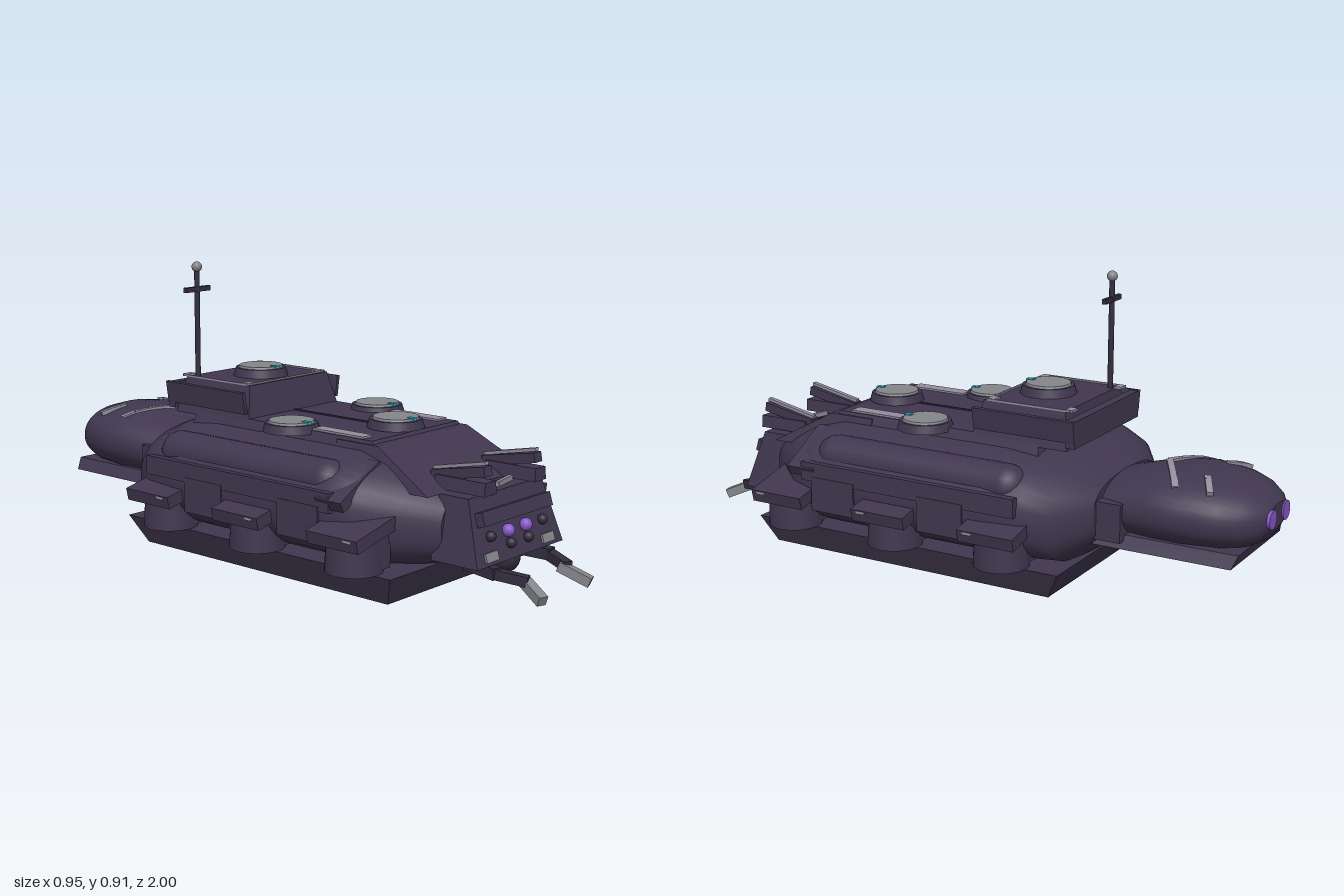
import * as THREE from 'three';

const mat = (name, color, side = THREE.FrontSide) => {
  const m = new THREE.MeshStandardMaterial({ color, side });
  m.name = name;
  return m;
};

export function createModel() {
  const model = new THREE.Group();
  model.name = 'armouredCrawler';
  const body = mat('darkPlumHull', 0x40374f);
  const dark = mat('darkMetal', 0x332d3e);
  const grey = mat('greyMetal', 0x85868a);
  const trim = mat('paleTrim', 0x938d9e);
  const violet = mat('violetGlow', 0x8757c9);
  const cyan = mat('cyanMark', 0x25b4c8);

  const add = (name, geo, m, x = 0, y = 0, z = 0) => {
    const mesh = new THREE.Mesh(geo, m);
    mesh.name = name;
    mesh.position.set(x, y, z);
    model.add(mesh);
    return mesh;
  };
  const box = (name, m, x, y, z, w, h, d) => add(name, new THREE.BoxGeometry(w, h, d), m, x, y, z);

  // Box with separate bottom and top rectangles [x0, x1, z0, z1]
  const frustum = (name, m, y0, y1, lo, hi) => {
    const g = new THREE.BoxGeometry(1, 1, 1);
    const p = g.attributes.position;
    for (let i = 0; i < p.count; i++) {
      const r = p.getY(i) > 0 ? hi : lo;
      p.setXYZ(i, r[p.getX(i) > 0 ? 1 : 0], p.getY(i) > 0 ? y1 : y0, r[p.getZ(i) > 0 ? 3 : 2]);
    }
    g.computeVertexNormals();
    return add(name, g, m);
  };

  // Box running from a to b, w wide and h thick
  const bar = (name, m, a, b, w, h) => {
    const A = new THREE.Vector3(...a), B = new THREE.Vector3(...b);
    const mid = A.clone().add(B).multiplyScalar(0.5);
    const mesh = box(name, m, mid.x, mid.y, mid.z, w, h, A.distanceTo(B));
    mesh.lookAt(B);
    return mesh;
  };

  // Superellipse loft along z; stations are [z, halfWidth, yBottom, yTop]
  const loft = (name, m, stations, n) => {
    const N = 40, pos = [], idx = [];
    const pw = (v) => Math.sign(v) * Math.abs(v) ** (2 / n);
    const ring = ([z, w, y0, y1]) => {
      for (let i = 0; i < N; i++) {
        const a = (i / N) * Math.PI * 2;
        pos.push(w * pw(Math.cos(a)), (y0 + y1) / 2 + ((y1 - y0) / 2) * pw(Math.sin(a)), z);
      }
    };
    stations.forEach(ring);
    for (let s = 0; s < stations.length - 1; s++)
      for (let i = 0; i < N; i++) {
        const a = s * N + i, b = s * N + ((i + 1) % N);
        idx.push(a, b, b + N, a, b + N, a + N);
      }
    // End caps with their own rings
    [stations[0], stations.at(-1)].forEach((st, e) => {
      const base = pos.length / 3;
      ring(st);
      pos.push(0, (st[2] + st[3]) / 2, st[0]);
      for (let i = 0; i < N; i++) {
        const a = base + i, b = base + ((i + 1) % N);
        idx.push(...(e ? [a, b, base + N] : [b, a, base + N]));
      }
    });
    const g = new THREE.BufferGeometry();
    g.setAttribute('position', new THREE.Float32BufferAttribute(pos, 3));
    g.setIndex(idx);
    g.computeVertexNormals();
    return add(name, g, m);
  };

  // Main hull
  frustum('basePlate', body, 0, 0.09, [-0.34, 0.34, -0.41, 0.6], [-0.38, 0.38, -0.46, 0.64]);
  loft('hull', body, [
    [-0.5, 0.23, 0.13, 0.33], [-0.42, 0.36, 0.06, 0.38], [-0.34, 0.4, 0.06, 0.41], [-0.2, 0.415, 0.06, 0.42],
    [0.4, 0.415, 0.06, 0.42], [0.5, 0.38, 0.06, 0.4], [0.6, 0.3, 0.07, 0.36], [0.69, 0.21, 0.09, 0.32],
  ], 2.6);
  frustum('deck', body, 0.32, 0.435, [-0.26, 0.26, -0.33, 0.5], [-0.21, 0.21, -0.3, 0.43]);
  frustum('hood', body, 0.31, 0.425, [-0.25, 0.25, 0.3, 0.67], [-0.22, 0.22, 0.3, 0.46]);
  box('deckSeam', dark, 0, 0.436, 0.1, 0.008, 0.006, 0.34);

  // Wheel pods, fenders and shoulder armour on both sides
  for (const s of [-1, 1]) {
    for (const z of [0.5, 0.115, -0.267]) {
      add('wheelPod', new THREE.CylinderGeometry(0.08, 0.086, 0.12, 28), body, s * 0.373, 0.15, z);
      box('wheelPodMount', body, s * 0.34, 0.155, z, 0.07, 0.11, 0.16);
      bar('fender', body, [s * 0.29, 0.235, z], [s * 0.472, 0.193, z], 0.19, 0.04);
      box('fenderTag', trim, s * 0.474, 0.205, z + 0.06, 0.006, 0.008, 0.03);
    }
    for (const z of [0.32, -0.075]) box('sidePanel', body, s * 0.385, 0.215, z, 0.07, 0.11, 0.16);
    bar('shoulderPlate', body, [s * 0.24, 0.375, 0.44], [s * 0.415, 0.28, 0.44], 0.1, 0.035);
    bar('shoulderRail', body, [s * 0.405, 0.285, -0.33], [s * 0.405, 0.285, 0.44], 0.025, 0.06);
    const tank = add('shoulderTank', new THREE.CapsuleGeometry(0.065, 0.62, 8, 20), body, s * 0.325, 0.325, 0.05);
    tank.rotation.x = Math.PI / 2;
    box('deckStrip', trim, s * 0.182, 0.437, 0.29, 0.046, 0.008, 0.2);
  }

  // Cabin with side boards, rear rail and roof frame
  frustum('cabin', body, 0.42, 0.535, [-0.215, 0.215, -0.4, -0.07], [-0.185, 0.185, -0.38, -0.095]);
  box('cabinRearRail', body, 0, 0.475, -0.415, 0.44, 0.085, 0.03);
  for (const s of [-1, 1]) {
    bar('cabinSideBoard', body, [s * 0.222, 0.485, -0.43], [s * 0.222, 0.485, -0.08], 0.012, 0.07).rotation.z = -s * 0.15;
    box('roofTrim', trim, s * 0.183, 0.537, -0.25, 0.006, 0.006, 0.29);
    for (const z of [-0.39, -0.12]) box('roofCorner', trim, s * 0.165, 0.537, z, 0.035, 0.008, 0.025);
  }
  box('roofFrontTrim', trim, 0, 0.537, -0.107, 0.36, 0.006, 0.006);

  // Hatches
  for (const [x, y, z] of [[0.207, 0.423, 0.105], [-0.207, 0.423, 0.105], [0, 0.437, 0.35], [0, 0.535, -0.222]]) {
    add('hatchRing', new THREE.CylinderGeometry(0.082, 0.09, 0.027, 32), body, x, y + 0.0135, z);
    add('hatchLid', new THREE.CylinderGeometry(0.07, 0.073, 0.008, 32), grey, x, y + 0.03, z);
    box('hatchMark', cyan, x, y + 0.032, z + 0.063, 0.017, 0.009, 0.026);
  }

  // Mast
  add('mast', new THREE.CylinderGeometry(0.009, 0.009, 0.36, 12), dark, -0.152, 0.7, -0.362);
  box('mastCrossbar', dark, -0.152, 0.82, -0.362, 0.11, 0.016, 0.014);
  add('mastBall', new THREE.SphereGeometry(0.017, 16, 12), grey, -0.152, 0.893, -0.362);

  // Front face with lamps, visor and plates
  frustum('faceBlock', body, 0.118, 0.31, [-0.218, 0.218, 0.66, 0.825], [-0.185, 0.185, 0.64, 0.765]);
  const faceZ = (y) => 0.825 - (y - 0.118) * 0.3125;
  const tilt = -Math.atan(0.3125);
  box('visor', body, 0, 0.25, faceZ(0.25) + 0.01, 0.345, 0.042, 0.035).rotation.x = tilt;
  for (const s of [-1, 1]) {
    for (const [x, y, r, m] of [[0.131, 0.198, 0.016, dark], [0.044, 0.199, 0.02, violet], [0.044, 0.164, 0.016, dark]])
      add('faceLamp', new THREE.SphereGeometry(r, 16, 12), m, s * x, y, faceZ(y) + 0.008);
    box('facePlate', grey, s * 0.143, 0.142, faceZ(0.142) + 0.003, 0.06, 0.028, 0.008).rotation.x = tilt;
    bar('browTrim', trim, [0, 0.316, 0.735], [s * 0.1, 0.316, 0.715], 0.012, 0.018);

    // Hood horns with pale blades
    frustum('horn', body, 0.315, 0.355, [s * 0.126 - 0.03, s * 0.126 + 0.03, 0.62, 0.8], [s * 0.126 - 0.025, s * 0.126 + 0.025, 0.62, 0.8]);
    bar('hornSpine', body, [s * 0.126, 0.35, 0.6], [s * 0.126, 0.385, 0.79], 0.038, 0.03);
    bar('hornBlade', trim, [s * 0.126, 0.37, 0.6], [s * 0.126, 0.408, 0.785], 0.017, 0.01);

    // Mandibles
    bar('mandibleArm', dark, [s * 0.12, 0.1, 0.72], [s * 0.14, 0.095, 0.84], 0.036, 0.035);
    bar('mandibleElbow', dark, [s * 0.142, 0.095, 0.82], [s * 0.102, 0.08, 0.92], 0.03, 0.03);
    bar('mandibleClaw', grey, [s * 0.093, 0.08, 0.895], [s * 0.125, 0.04, 0.985], 0.03, 0.03);
  }
  add('chinBall', new THREE.SphereGeometry(0.048, 20, 14), dark, 0, 0.103, 0.765);

  // Rear head: skull, jaw, eyes and markings
  loft('rearHead', body, [
    [-0.995, 0.075, 0.225, 0.3], [-0.975, 0.115, 0.19, 0.325], [-0.93, 0.165, 0.165, 0.35], [-0.87, 0.197, 0.152, 0.368],
    [-0.75, 0.225, 0.148, 0.38], [-0.65, 0.215, 0.148, 0.372], [-0.55, 0.19, 0.15, 0.345], [-0.46, 0.175, 0.16, 0.32],
  ], 2.2);
  frustum('jaw', body, 0.14, 0.178, [-0.2, 0.2, -0.93, -0.46], [-0.175, 0.175, -0.943, -0.46]);
  box('neckCollar', body, 0, 0.22, -0.52, 0.42, 0.12, 0.12);
  const skullY = (x) => 0.264 + 0.114 * (1 - (Math.abs(x) / 0.222) ** 2.2) ** (1 / 2.2);
  for (const s of [-1, 1]) {
    const eye = add('rearEye', new THREE.CylinderGeometry(0.03, 0.03, 0.03, 20), violet, s * 0.055, 0.262, -0.985);
    eye.rotation.x = Math.PI / 2;
    const mark = (name, x0, z0, x1, z1, drop) => {
      for (let i = 0; i < 4; i++) {
        const at = (t) => {
          const x = x0 + (x1 - x0) * t;
          return [s * x, skullY(x) - drop, z0 + (z1 - z0) * t];
        };
        bar(name, trim, at(i / 4), at((i + 1) / 4), 0.02, 0.014);
      }
    };
    mark('chevron', 0, -0.642, 0.16, -0.732, 0.004);
    mark('browMark', 0.08, -0.8, 0.16, -0.842, 0.003);
  }
  return model;
}
